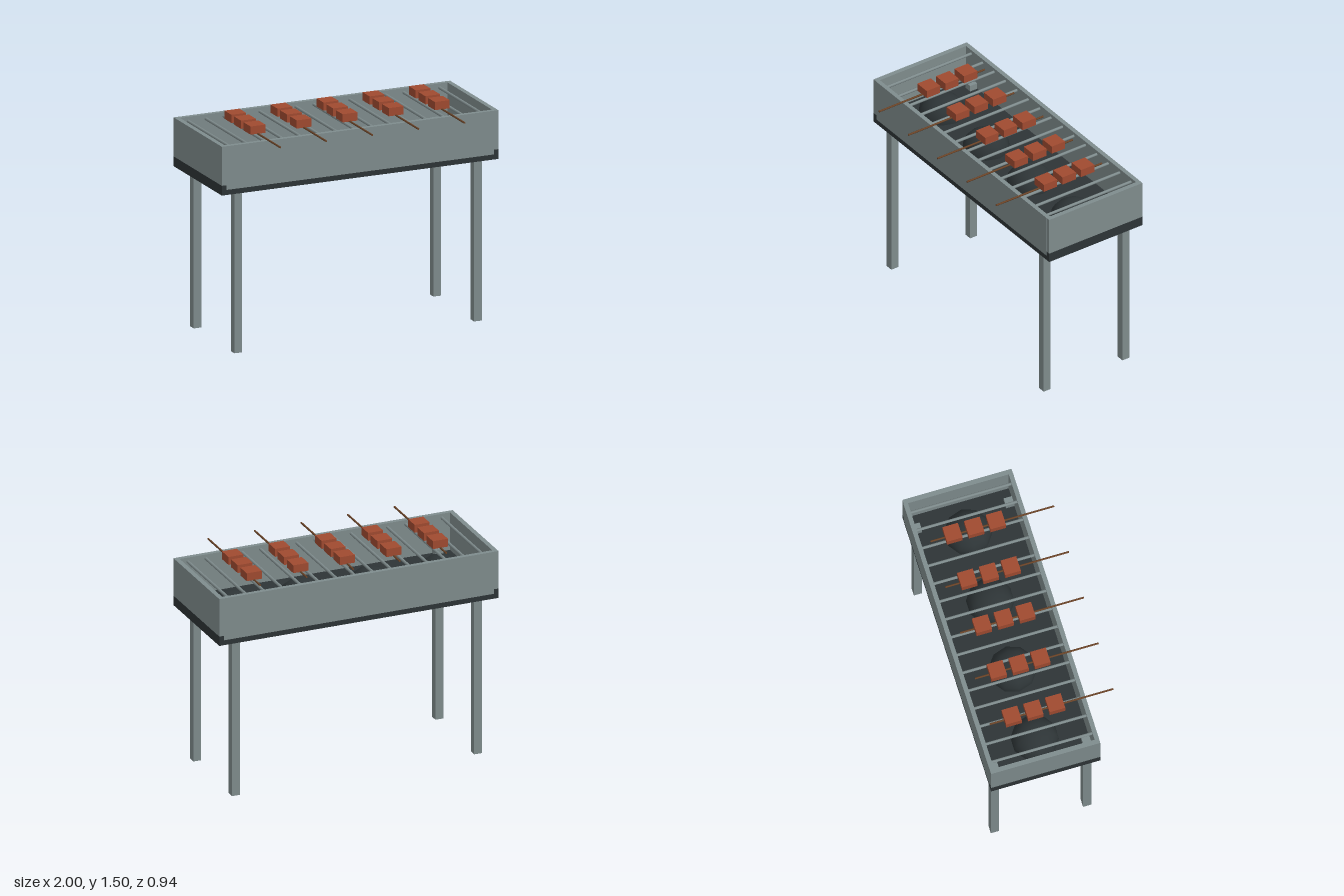
import * as THREE from 'three';

export function createModel() {
  const grill = new THREE.Group();
  grill.name = 'skewerGrill';

  const paint = (name, color) => {
    const m = new THREE.MeshStandardMaterial({ color });
    m.name = name;
    return m;
  };
  const steel = paint('greySteel', 0x7f8c8d);
  const charcoal = paint('charcoal', 0x2d3436);
  const meat = paint('meat', 0xa04a30);
  const wood = paint('skewerWood', 0x6b4428);

  const add = (name, geometry, material, x, y, z, parent = grill) => {
    const mesh = new THREE.Mesh(geometry, material);
    mesh.name = name;
    mesh.position.set(x, y, z);
    parent.add(mesh);
    return mesh;
  };
  const box = (w, h, d) => new THREE.BoxGeometry(w, h, d);

  // Firebox: centre and half depth along z
  const midZ = -0.095, halfZ = 0.374, rim = 1.434;
  add('floor', box(2, 0.067, halfZ * 2), charcoal, 0, 1.1335, midZ);
  for (const s of [-1, 1]) {
    // Long walls overlap the floor edge and sit just proud of it
    add(s > 0 ? 'frontWall' : 'backWall', box(1.935, rim - 1.135, 0.03), steel,
      0, (rim + 1.135) / 2, midZ + s * (halfZ - 0.014));
    add(s > 0 ? 'leftWall' : 'rightWall', box(0.0325, rim - 1.167, halfZ * 2), steel,
      s * 0.98375, (rim + 1.167) / 2, midZ);
  }

  // Legs, with tops showing through the floor
  const legGeometry = box(0.056, 1.21, 0.056);
  for (const x of [-0.867, 0.867]) {
    for (const z of [-0.316, 0.316]) add('leg', legGeometry, steel, x, 0.605, midZ + z);
  }

  // Coal mounds
  const coalGeometry = new THREE.SphereGeometry(0.16, 10, 5, 0, Math.PI * 2, 0, Math.PI / 2);
  coalGeometry.scale(1, 0.85, 1);
  for (let i = 0; i < 4; i++) add('coalMound', coalGeometry, charcoal, -0.75 + i * 0.5, 1.165, midZ);

  // Grate bars
  const barGeometry = new THREE.CylinderGeometry(0.01, 0.01, 0.7, 8).rotateX(Math.PI / 2);
  for (let i = 0; i < 15; i++) add('grateBar', barGeometry, steel, (i - 7) * 0.13, 1.405, midZ);

  // Skewers with three meat chunks each
  const rodGeometry = new THREE.CylinderGeometry(0.0065, 0.0065, 0.847, 8).rotateX(Math.PI / 2);
  const chunkGeometry = box(0.107, 0.056, 0.107);
  for (let i = -2; i <= 2; i++) {
    const skewer = new THREE.Group();
    skewer.name = 'skewer';
    skewer.position.x = i / 3;
    grill.add(skewer);
    add('skewerRod', rodGeometry, wood, 0, 1.44, 0.0465, skewer);
    for (let k = -1; k <= 1; k++) add('meatChunk', chunkGeometry, meat, 0, 1.468, -0.078 + k * 0.149, skewer);
  }

  return grill;
}
